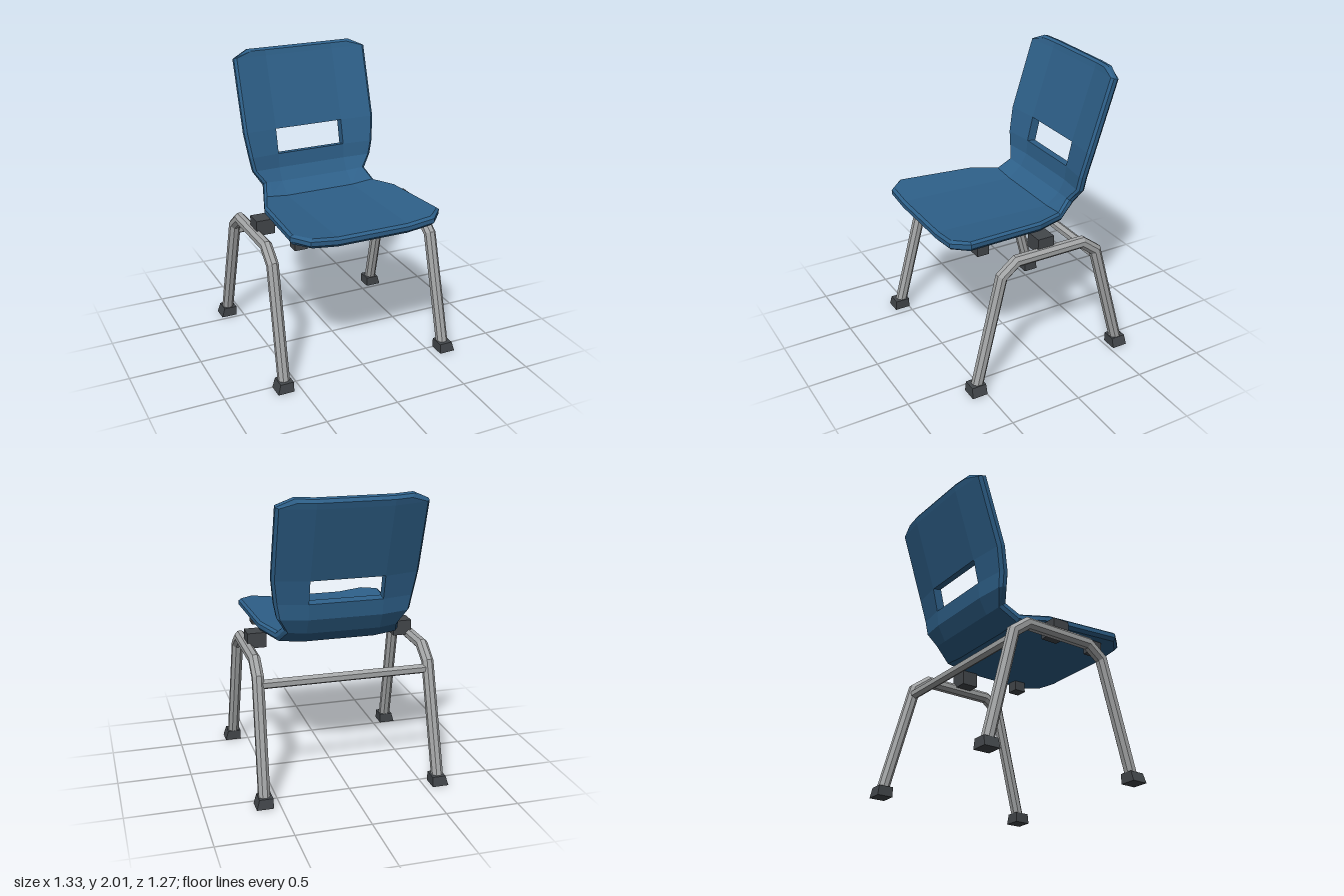
import * as THREE from 'three';

const V = (x, y, z) => new THREE.Vector3(x, y, z);

// Collects quads (counter-clockwise corners) into a faceted geometry
function quadBuilder() {
  const pts = [];
  return {
    quad(a, b, c, d) { pts.push(a, b, c, a, c, d); },
    build() {
      const g = new THREE.BufferGeometry().setFromPoints(pts);
      g.computeVertexNormals();
      return g;
    },
  };
}

// One-piece seat and backrest: a swept sheet with bevelled rim and a slot
function shellGeometry() {
  // centre line of the upper surface: z, y, half width
  const rows = [
    [0.635, 1.06, 0.44], [0.53, 1.058, 0.535], [0, 1.045, 0.50], [-0.2, 1.04, 0.425],
    [-0.295, 1.115, 0.39], [-0.34, 1.2, 0.45], [-0.35, 1.3, 0.47], [-0.39, 1.47, 0.492],
    [-0.548, 1.955, 0.492], [-0.563, 2.01, 0.38],
  ];
  const layers = [[0, 0.018], [0.25, 0], [0.7, 0], [1, 0.018]]; // depth fraction, inset
  const thick = 0.065, I = rows.length - 1, J = 5;
  const mid = (i) => V(0, rows[i][1], rows[i][0]);
  const dir = (a, b) => mid(b).sub(mid(a)).normalize();

  const point = (k, i, j) => {
    const [depth, inset] = layers[k];
    const t = dir(Math.max(i - 1, 0), Math.max(i, 1));
    t.add(dir(Math.min(i, I - 1), Math.min(i + 1, I))).normalize();
    const n = V(0, -t.z, t.y);
    const w = rows[i][2];
    const half = [w - inset, Math.min(0.38, w * 0.87), 0.25][j < 3 ? j : J - j];
    const lift = Math.max(0, half - 0.25) * (i > 3 ? 0.15 : 0.12);
    const p = mid(i).addScaledVector(n, lift - depth * thick);
    p.addScaledVector(t, i === 0 ? inset : i === I ? -inset : 0);
    p.x = j < 3 ? -half : half;
    return p;
  };

  const q = quadBuilder();
  const wall = (k0, k1, a, b) =>
    q.quad(point(k0, ...a), point(k1, ...a), point(k1, ...b), point(k0, ...b));

  // upper and lower faces, leaving out the slot
  for (let i = 0; i < I; i++) for (let j = 0; j < J; j++) {
    const c = [[i, j], [i, j + 1], [i + 1, j + 1], [i + 1, j]];
    if (i === 6 && j === 2) {
      c.forEach((a, s) => wall(0, 3, c[(s + 1) % 4], a));
      continue;
    }
    q.quad(...c.map((a) => point(0, ...a)));
    q.quad(...c.map((a) => point(3, ...a)).reverse());
  }

  // bevelled rim
  const loop = [];
  for (let j = 0; j < J; j++) loop.push([0, j]);
  for (let i = 0; i < I; i++) loop.push([i, J]);
  for (let j = J; j > 0; j--) loop.push([I, j]);
  for (let i = I; i > 0; i--) loop.push([i, 0]);
  loop.forEach((a, s) => {
    for (let k = 0; k < 3; k++) wall(k, k + 1, a, loop[(s + 1) % loop.length]);
  });
  return q.build();
}

// Mitred octagonal tube: front leg, top rail and back leg in one bend
function legGeometry(side) {
  const path = [
    [0.602, 0.04, 0.545], [0.585, 0.815, 0.345], [0.583, 0.9, 0.235],
    [0.583, 0.9, -0.265], [0.585, 0.815, -0.375], [0.602, 0.04, -0.58],
  ].map(([x, y, z]) => V(x * side, y, z));
  const r = 0.041, N = 8, last = path.length - 1;
  const seg = (k) => path[k + 1].clone().sub(path[k]).setX(0).normalize();
  const rings = path.map((p, k) => {
    const a = seg(Math.max(k - 1, 0)), b = seg(Math.min(k, last - 1));
    const t = a.clone().add(b).normalize();
    const n = t.clone().cross(V(1, 0, 0)).multiplyScalar(1 / t.dot(a));
    return Array.from({ length: N }, (_, s) => {
      const u = ((s + 0.5) / N) * Math.PI * 2;
      return p.clone().addScaledVector(n, r * Math.sin(u)).add(V(r * Math.cos(u), 0, 0));
    });
  });
  const q = quadBuilder();
  for (let k = 0; k < last; k++) for (let s = 0; s < N; s++) {
    const e = (s + 1) % N;
    q.quad(rings[k][s], rings[k][e], rings[k + 1][e], rings[k + 1][s]);
  }
  return q.build();
}

// Foot block whose outer faces lean inward towards the top
function footGeometry(side, front) {
  const g = new THREE.BoxGeometry(0.112, 0.068, 0.11);
  const p = g.attributes.position;
  for (let i = 0; i < p.count; i++) {
    if (p.getY(i) < 0) continue;
    if (p.getX(i) * side > 0) p.setX(i, p.getX(i) - side * 0.02);
    if (p.getZ(i) * front > 0) p.setZ(i, p.getZ(i) - front * 0.008);
  }
  g.computeVertexNormals();
  return g;
}

export function createModel() {
  const material = (name, color) => {
    const m = new THREE.MeshStandardMaterial({ color });
    m.name = name;
    return m;
  };
  const blue = material('blue plastic', 0x2e6089);
  const metal = material('grey metal', 0xa4a6a7);
  const dark = material('dark rubber', 0x43474b);

  const model = new THREE.Group();
  model.name = 'chair';
  const add = (name, geometry, mat, x = 0, y = 0, z = 0) => {
    const mesh = new THREE.Mesh(geometry, mat);
    mesh.name = name;
    mesh.position.set(x, y, z);
    model.add(mesh);
    return mesh;
  };

  add('seatShell', shellGeometry(), blue);

  for (const side of [1, -1]) {
    const label = side > 0 ? 'left' : 'right';
    add(label + 'LegFrame', legGeometry(side), metal);
    add(label + 'FrontFoot', footGeometry(side, 1), dark, side * 0.611, 0.034, 0.553);
    add(label + 'BackFoot', footGeometry(side, -1), dark, side * 0.607, 0.034, -0.581);
    // bracket joining seat and rail, and a small pad further forward
    add(label + 'Bracket', new THREE.BoxGeometry(0.13, 0.105, 0.12), dark, side * 0.52, 0.955, 0.012);
    add(label + 'Pad', new THREE.BoxGeometry(0.085, 0.075, 0.085), dark, side * 0.428, 0.973, 0.412);
  }

  // rear crossbar
  const bar = new THREE.CylinderGeometry(0.033, 0.033, 1.13, 6).toNonIndexed();
  bar.rotateZ(Math.PI / 2);
  bar.rotateX(Math.PI / 2);
  bar.computeVertexNormals();
  add('crossbar', bar, metal, 0, 0.768, -0.386);

  return model;
}
